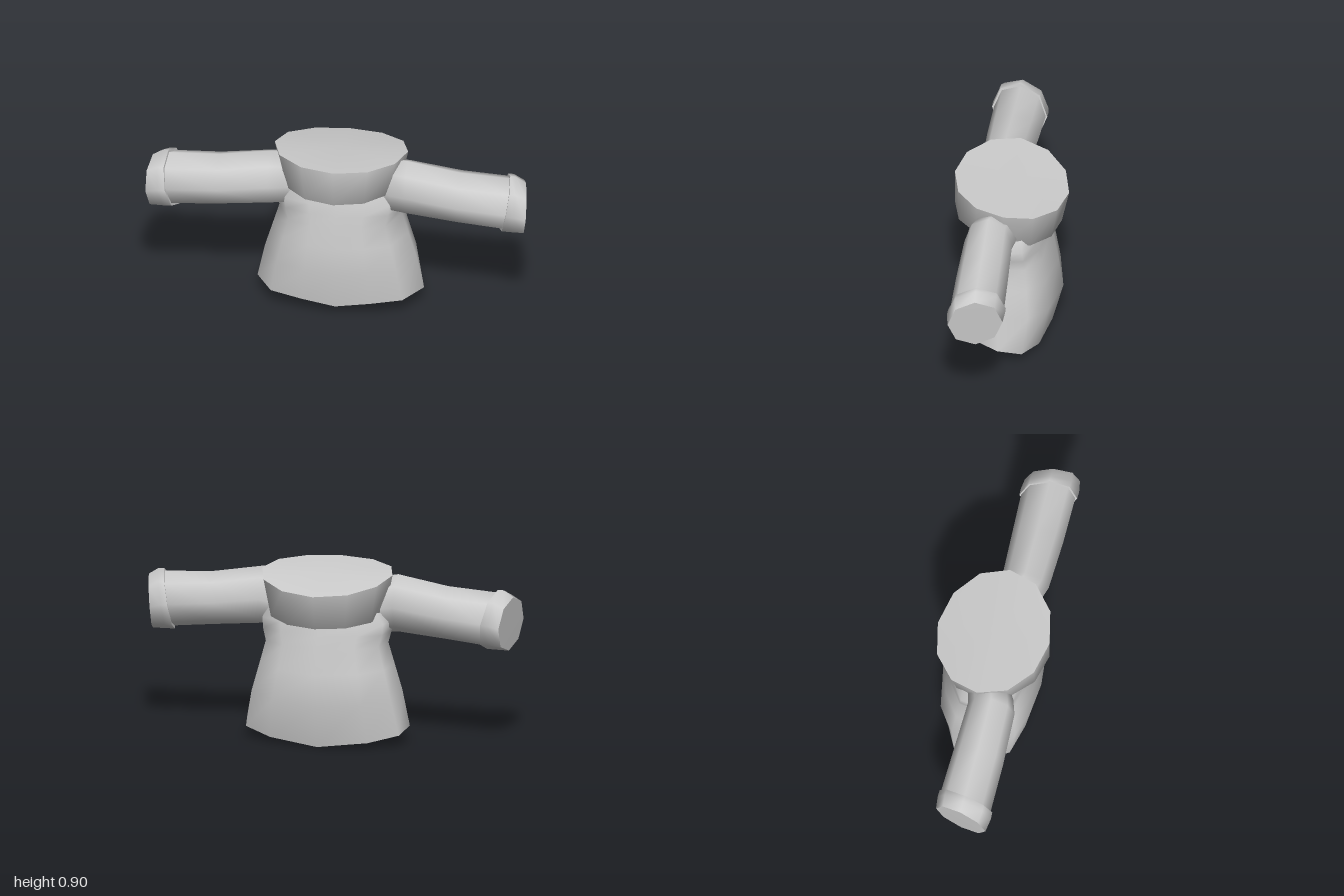
import * as THREE from 'three';

// Skin a list of closed rings (counter-clockwise about the direction of travel), with optional flat end caps.
function loft(name, rings, material, capStart, capEnd) {
  const n = rings[0].length;
  const pos = [], index = [];
  rings.forEach(r => r.forEach(p => pos.push(...p)));
  for (let k = 0; k < rings.length - 1; k++) {
    for (let i = 0; i < n; i++) {
      const a = k * n + i, b = k * n + (i + 1) % n;
      index.push(a, b, b + n, a, b + n, a + n);
    }
  }
  const addCap = (ring, centre, flip) => {
    const s = pos.length / 3;
    ring.forEach(p => pos.push(...p));
    pos.push(...centre);
    for (let i = 0; i < n; i++) {
      const a = s + i, b = s + (i + 1) % n;
      index.push(s + n, flip ? b : a, flip ? a : b);
    }
  };
  if (capStart) addCap(rings[0], capStart, true);
  if (capEnd) addCap(rings[rings.length - 1], capEnd, false);
  const geo = new THREE.BufferGeometry();
  geo.setAttribute('position', new THREE.Float32BufferAttribute(pos, 3));
  geo.setIndex(index);
  geo.computeVertexNormals();
  const mesh = new THREE.Mesh(geo, material);
  mesh.name = name;
  return mesh;
}

// Torso section: [x, z, hem height offset] for one half, front to back
const half = [[0, 1, -0.035], [0.41, 0.94, -0.012], [0.79, 0.76, 0], [1, 0.1, -0.003],
  [0.94, -0.48, -0.03], [0.6, -0.83, -0.062], [0, -1, -0.091]];
const section = [...half, ...half.slice(1, -1).reverse().map(([x, z, h]) => [-x, z, h])];

function torsoRing(y, rx, front, back, hem) {
  return section.map(([x, z, h]) => [x * rx, y + h * hem, z * (z > 0 ? front : back)]);
}

// Twelve-sided collar section; heightAt gives y from the forward direction (-1 back, 1 front)
function collarRing(rx, front, back, heightAt) {
  const ring = [];
  for (let i = 0; i < 12; i++) {
    const a = i * Math.PI / 6, c = Math.cos(a);
    ring.push([rx * Math.sin(a), heightAt(c), c * (c > 0 ? front : back)]);
  }
  return ring;
}

// Eight-sided sleeve section around the x axis; lean slants the ring
function sleeveRing(side, x, y, z, ry, rz, leanY = 0, leanZ = 0) {
  const ring = [];
  for (let i = 0; i < 8; i++) {
    const a = i * Math.PI / 4;
    const dy = ry * Math.cos(a), dz = rz * Math.sin(a);
    ring.push([side * (x + leanY * dy + leanZ * dz), y + dy, z + dz]);
  }
  return side > 0 ? ring : ring.reverse();
}

export function createModel() {
  const group = new THREE.Group();
  const grey = new THREE.MeshStandardMaterial({ color: 0xcccccc });
  grey.name = 'plain grey';

  // Flared torso with a dipped hem, spreading into the armpits
  group.add(loft('torso', [
    torsoRing(0.094, 0.437, 0.23, 0.21, 1),
    torsoRing(0.28, 0.397, 0.256, 0.268, 0.6),
    torsoRing(0.42, 0.355, 0.242, 0.243, 0.3),
    torsoRing(0.53, 0.322, 0.228, 0.22, 0),
    torsoRing(0.595, 0.34, 0.217, 0.205, 0),
    torsoRing(0.65, 0.345, 0.208, 0.193, 0),
    torsoRing(0.72, 0.3, 0.19, 0.18, 0),
  ], grey, [0, 0.085, 0], [0, 0.72, 0]));

  // Wide twelve-sided collar, lower at the back, with its underside rolled in to the torso
  group.add(loft('collar', [
    collarRing(0.25, 0.19, 0.17, c => 0.7 + (c > 0 ? -0.02 : 0.06) * c),
    collarRing(0.31, 0.3, 0.26, c => 0.687 + (c > 0 ? 0.028 * Math.min(1, 2 * c) : 0.042 * c)),
    collarRing(0.35, 0.3, 0.298, c => 0.893 + (c > 0 ? 0.028 * c - 0.014 * c * c : 0.046 * c - 0.022 * c * c)),
  ], grey, [0, 0.7, 0], [0, 0.891, 0]));

  // Sleeves with slanted cuffs
  for (const side of [1, -1]) {
    const label = side > 0 ? 'left' : 'right';
    group.add(loft(label + 'Sleeve', [
      sleeveRing(side, 0.2, 0.71, 0.04, 0.11, 0.09),
      sleeveRing(side, 0.28, 0.722, 0.055, 0.15, 0.122),
      sleeveRing(side, 0.36, 0.729, 0.079, 0.153, 0.125),
      sleeveRing(side, 0.63, 0.694, 0.077, 0.142, 0.135),
      sleeveRing(side, 0.88, 0.675, 0.072, 0.145, 0.139, 0.16, 0.18),
    ], grey));
    const cuffLip = sleeveRing(side, 0.868, 0.675, 0.073, 0.16, 0.148, 0.18, 0.18);
    const cuffMid = sleeveRing(side, 0.905, 0.674, 0.073, 0.16, 0.149, 0.14, 0.19);
    const cuffEnd = sleeveRing(side, 0.968, 0.657, 0.07, 0.143, 0.14, 0.08, 0.215);
    group.add(loft(label + 'Cuff', [cuffLip, cuffMid, cuffEnd], grey,
      [side * 0.868, 0.675, 0.073], [side * 0.969, 0.657, 0.07]));
  }
  return group;
}
